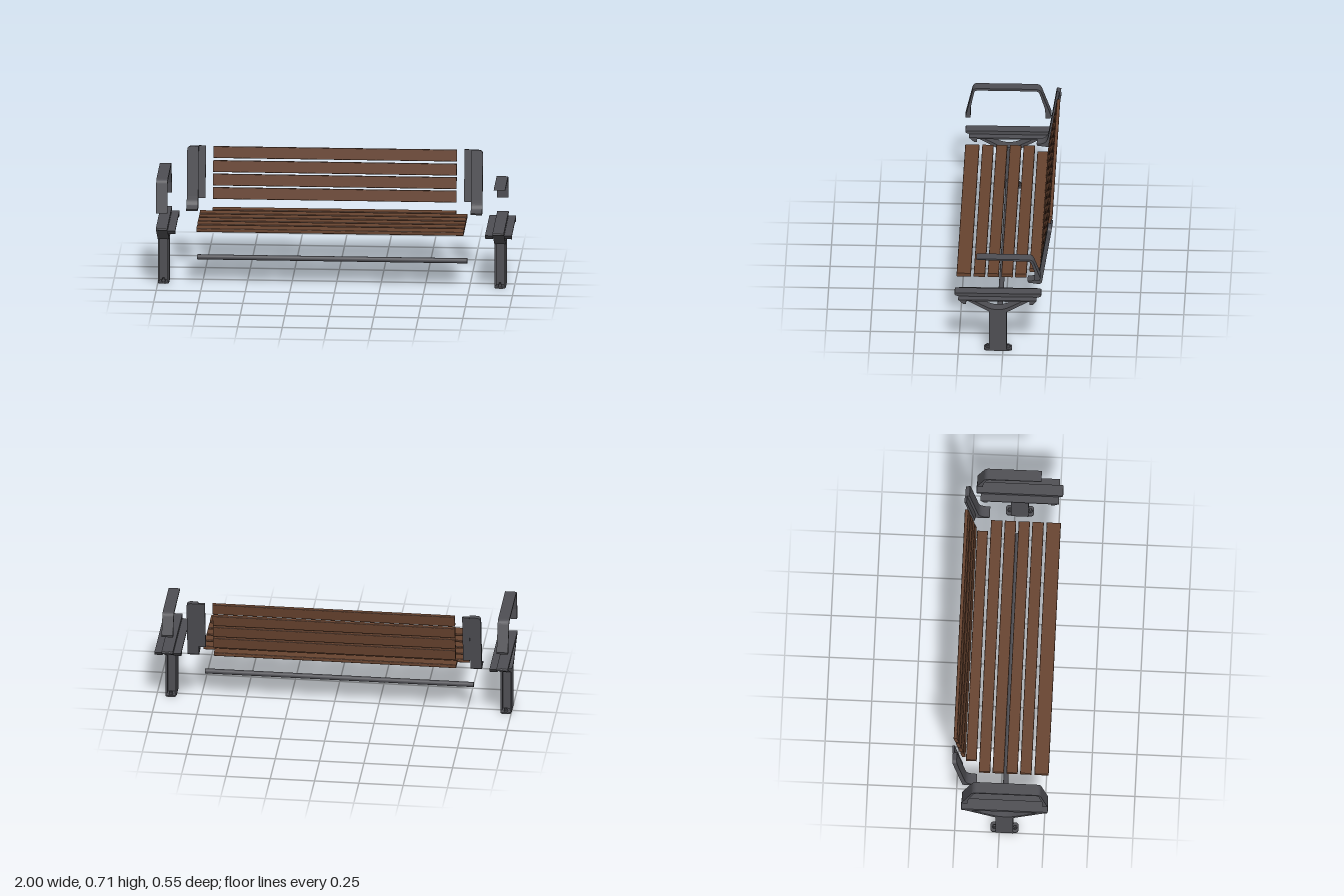
import * as THREE from 'three';

const steel = new THREE.MeshStandardMaterial({ color: 0x4e4e53 });
steel.name = 'dark grey steel';
const wood = new THREE.MeshStandardMaterial({ color: 0x67432f });
wood.name = 'brown wood';

// Closed shape from [a, b, cornerRadius] points
function roundedShape(points) {
  const shape = new THREE.Shape();
  const n = points.length;
  points.forEach(([a, b, r = 0], i) => {
    const p = new THREE.Vector2(a, b);
    const toward = ([x, y]) => {
      const d = new THREE.Vector2(x, y).sub(p);
      return p.clone().addScaledVector(d.normalize(), r);
    };
    const p0 = toward(points[(i + n - 1) % n]);
    const p1 = toward(points[(i + 1) % n]);
    if (i === 0) shape.moveTo(p0.x, p0.y);
    else shape.lineTo(p0.x, p0.y);
    if (r > 0) shape.quadraticCurveTo(p.x, p.y, p1.x, p1.y);
  });
  shape.closePath();
  return shape;
}

// Side profile given as [z, y, radius], swept along x and centred on x = 0
function sweepX(points, width) {
  const geo = new THREE.ExtrudeGeometry(roundedShape(points), {
    depth: width, bevelEnabled: false, curveSegments: 6,
  });
  return geo.rotateY(-Math.PI / 2).translate(width / 2, 0, 0);
}

function add(parent, name, geo, mat, x = 0, y = 0, z = 0) {
  const mesh = new THREE.Mesh(geo, mat);
  mesh.name = name;
  mesh.position.set(x, y, z);
  parent.add(mesh);
  return mesh;
}

const box = (w, h, d) => new THREE.BoxGeometry(w, h, d);

function slatGeometry(length, depth, height, r = 0.004) {
  const a = depth / 2, b = height / 2;
  return sweepX([[a, -b, r], [a, b, r], [-a, b, r], [-a, -b, r]], length);
}

const LEAN = Math.atan(0.164);
const WIDTH = 0.064;

// Leg with base plate, bolts, forked head and seat rail
function makeStand(wingSides) {
  const g = new THREE.Group();
  g.name = 'stand';
  const zc = 0.0285;
  for (const s of [-1, 1]) {
    add(g, 'columnSide', box(0.011, 0.255, 0.097), steel, s * 0.0265, 0.1275, zc);
  }
  add(g, 'columnWeb', box(0.044, 0.255, 0.045), steel, 0, 0.1275, zc);

  // Base plate with rounded ends
  const plate = new THREE.ExtrudeGeometry(roundedShape([
    [-0.03, -0.079, 0.02], [0.03, -0.079, 0.02], [0.03, 0.079, 0.02], [-0.03, 0.079, 0.02],
  ]), { depth: 0.009, bevelEnabled: false, curveSegments: 5 }).rotateX(-Math.PI / 2);
  add(g, 'basePlate', plate, steel, 0, 0, zc);
  for (const z of [0.087, -0.029]) {
    add(g, 'nut', new THREE.CylinderGeometry(0.013, 0.013, 0.01, 6), steel, 0, 0.014, z);
    add(g, 'bolt', new THREE.CylinderGeometry(0.007, 0.007, 0.01, 10), steel, 0, 0.023, z);
  }

  add(g, 'fork', sweepX([
    [0.262, 0.353], [0.077, 0.25, 0.01], [-0.02, 0.247, 0.01], [-0.205, 0.351],
    [-0.165, 0.347], [-0.005, 0.263, 0.035], [0.063, 0.263, 0.035], [0.22, 0.347],
  ], WIDTH), steel);
  add(g, 'seatRail', sweepX([
    [0.272, 0.366, 0.007], [-0.215, 0.366, 0.007], [-0.215, 0.35, 0.007],
    [-0.195, 0.345], [0.25, 0.345], [0.272, 0.354, 0.006],
  ], WIDTH), steel);

  // Slat brackets beside the rail
  for (const s of wingSides) {
    add(g, 'slatBracket', sweepX([
      [0.25, 0.346], [-0.19, 0.346], [-0.168, 0.32], [-0.15, 0.32],
      [-0.15, 0.338], [0.205, 0.338], [0.205, 0.32], [0.222, 0.32],
    ], 0.044), steel, s * 0.053);
  }
  return g;
}

// Back post: leaning plate with one rounded corner, rear flange and curved foot
function makePost(s) {
  const g = new THREE.Group();
  g.name = 'backPost';
  const leaning = (x0, x1, len, thick, r) => {
    const geo = new THREE.ExtrudeGeometry(roundedShape([
      [s * x0, -len], [s * x1, -len], [s * x1, 0, r], [s * x0, 0],
    ]), { depth: thick, bevelEnabled: false, curveSegments: 6 });
    return geo.rotateX(-LEAN);
  };
  add(g, 'postPlate', leaning(0.766, 0.83, 0.345, 0.024, 0.025), steel, 0, 0.703, -0.27);
  add(g, 'postFlange', leaning(0.726, 0.766, 0.295, 0.012, 0), steel, 0, 0.704, -0.273);
  add(g, 'postFoot', sweepX([
    [-0.133, 0.368], [-0.138, 0.358], [-0.2, 0.35], [-0.214, 0.36], [-0.22, 0.43],
    [-0.201, 0.43], [-0.193, 0.39, 0.02], [-0.17, 0.371, 0.02],
  ], WIDTH), steel, s * 0.798);
  return g;
}

// Full arch armrest
const archProfile = [
  [0.272, 0.452], [0.228, 0.637, 0.022], [-0.148, 0.637, 0.025], [-0.211, 0.466],
  [-0.205, 0.452], [-0.178, 0.452], [-0.176, 0.51], [-0.14, 0.624, 0.018],
  [0.219, 0.624, 0.016], [0.242, 0.515], [0.242, 0.452],
];
// Cantilever armrest with a tapering tip
const cantileverProfile = [
  [0.15, 0.583], [0.13, 0.586], [-0.165, 0.584, 0.02], [-0.211, 0.466],
  [-0.205, 0.452], [-0.178, 0.452], [-0.176, 0.51], [-0.155, 0.572, 0.016],
  [0.14, 0.579],
];

export function createModel() {
  const model = new THREE.Group();
  model.name = 'bench';
  const b = new THREE.Group();
  b.name = 'benchParts';
  b.position.x = -0.024;
  model.add(b);

  // Seat slats: z range of each, rearmost one shorter
  const seat = [[0.187, 0.267], [0.107, 0.171], [0.03, 0.093], [-0.048, 0.016], [-0.125, -0.061]];
  for (const [z0, z1] of seat) {
    add(b, 'seatSlat', slatGeometry(1.5, z1 - z0, 0.021), wood, 0, 0.3575, (z0 + z1) / 2);
  }
  add(b, 'rearSeatSlat', slatGeometry(1.367, 0.06, 0.021), wood, 0, 0.3575, -0.17);

  // Back slats
  for (const y of [0.671, 0.593, 0.518, 0.443]) {
    const slat = add(b, 'backSlat', slatGeometry(1.367, 0.02, 0.066), wood,
      0, y, -0.26 + (0.705 - y) * 0.164);
    slat.rotation.x = -LEAN;
  }

  // Round crossbar
  add(b, 'crossbar', new THREE.CylinderGeometry(0.0145, 0.0145, 1.516, 20).rotateZ(Math.PI / 2),
    steel, 0, 0.137, 0.025);

  for (const s of [-1, 1]) {
    b.add(makePost(s));
    const stand = makeStand(s > 0 ? [-1, 1] : [1]);
    stand.position.x = s * 0.945;
    b.add(stand);
    add(b, s > 0 ? 'cantileverArmrest' : 'archArmrest',
      sweepX(s > 0 ? cantileverProfile : archProfile, WIDTH), steel, s * 0.945);
  }
  return model;
}
